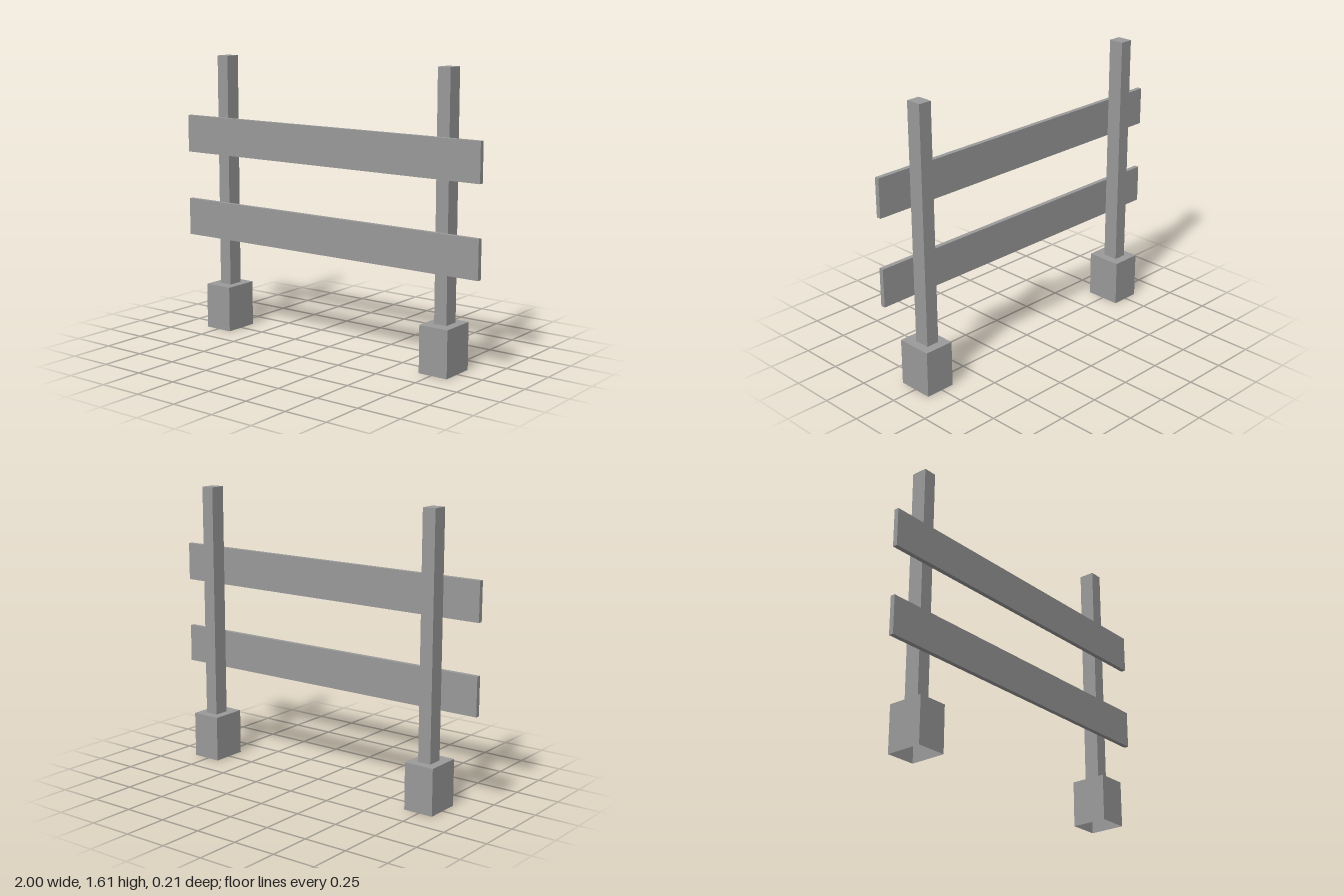
import * as THREE from 'three';

const material = new THREE.MeshStandardMaterial({ color: 0x9a9a9a, flatShading: true, side: THREE.DoubleSide });

// Box given by its minimum and maximum corners
function box(name, [x0, y0, z0], [x1, y1, z1], openBottom = false) {
  const geometry = new THREE.BoxGeometry(x1 - x0, y1 - y0, z1 - z0);
  if (openBottom) {
    // The fourth face of a box is its underside
    const index = Array.from(geometry.index.array);
    index.splice(18, 6);
    geometry.setIndex(index);
    geometry.clearGroups();
  }
  const mesh = new THREE.Mesh(geometry, material);
  mesh.name = name;
  mesh.position.set((x0 + x1) / 2, (y0 + y1) / 2, (z0 + z1) / 2);
  return mesh;
}

export function createModel() {
  const group = new THREE.Group();
  group.name = 'railFence';

  // Posts standing on hollow footings
  for (const [side, x] of [['right', -0.746], ['left', 0.761]]) {
    group.add(box(`${side}Footing`, [x - 0.087, 0, -0.104], [x + 0.087, 0.263, 0.104], true));
    group.add(box(`${side}Post`, [x - 0.038, 0.263, -0.053], [x + 0.038, 1.61, 0.037], true));
  }

  // Horizontal planks across the front of the posts
  for (const [name, y] of [['lowerRail', 0.538], ['upperRail', 1.036]]) {
    group.add(box(name, [-1, y, 0.037], [1, y + 0.217, 0.064]));
  }

  return group;
}
